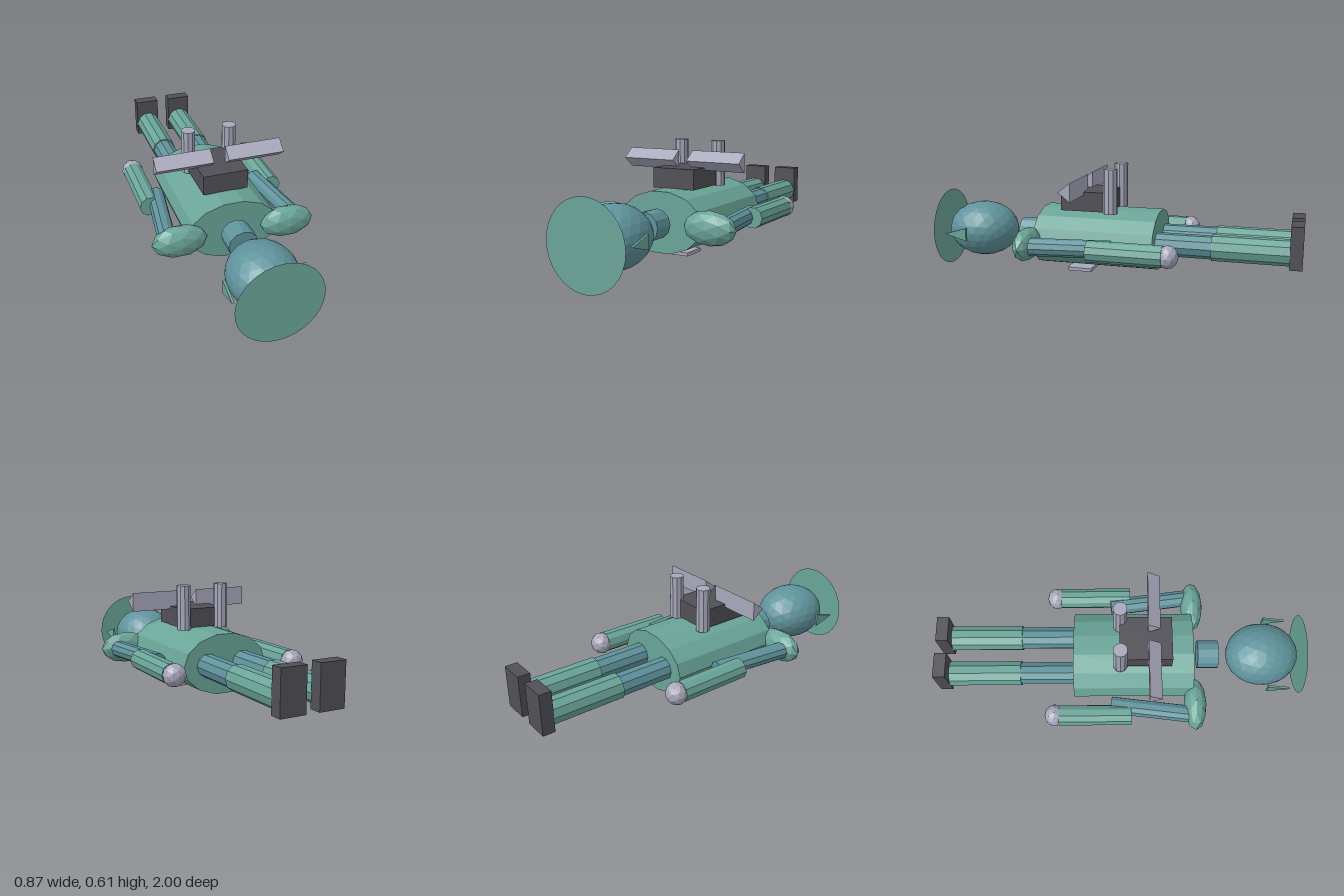
import * as THREE from 'three';

const MID = 0.22; // height of the body axis

const paint = (color, extra = {}) =>
  new THREE.MeshStandardMaterial({ color, flatShading: true, ...extra });

export function createModel() {
  const model = new THREE.Group();
  const green = paint(0x6aa598);
  const blue = paint(0x5f939c);
  const silver = paint(0xa8a8bc);
  const dark = paint(0x505056);

  function add(name, geometry, material, x, y, z) {
    const mesh = new THREE.Mesh(geometry, material);
    mesh.name = name;
    mesh.position.set(x, y, z);
    model.add(mesh);
    return mesh;
  }

  // Faceted cylinder lying along z between z0 and z1
  function rod(name, material, x, z0, z1, rx, ry = rx, sides = 10) {
    const geo = new THREE.CylinderGeometry(1, 1, z1 - z0, sides, 1, false, Math.PI / 2);
    geo.rotateX(Math.PI / 2).scale(rx, ry, 1);
    return add(name, geo, material, x, MID, (z0 + z1) / 2);
  }

  // Faceted ellipsoid
  function ball(name, material, detail, x, z, rx, ry, rz) {
    const geo = new THREE.IcosahedronGeometry(1, detail).scale(rx, ry, rz);
    return add(name, geo, material, x, MID, z);
  }

  // Triangular prism running along x; points are [z, y]
  function prism(name, material, points, width, x) {
    const shape = new THREE.Shape(points.map(([z, y]) => new THREE.Vector2(-z, y)));
    const geo = new THREE.ExtrudeGeometry(shape, { depth: width, bevelEnabled: false });
    geo.translate(0, 0, -width / 2).rotateY(Math.PI / 2);
    return add(name, geo, material, x, 0, 0);
  }

  // Head, neck and torso
  add('haloDisc', new THREE.CircleGeometry(0.217, 32),
    paint(0x6aa598, { side: THREE.DoubleSide }), 0, 0.218, 0.998);
  ball('head', blue, 3, 0, 0.79, 0.175, 0.155, 0.2);
  rod('neck', blue, 0, 0.43, 0.545, 0.078, 0.076, 12);
  rod('torso', green, 0, -0.25, 0.4, 0.24, 0.161, 14);
  add('bellyPlate', new THREE.BoxGeometry(0.15, 0.018, 0.135), silver, 0, 0.034, 0.193);

  // Backpack
  add('backpack', new THREE.BoxGeometry(0.24, 0.105, 0.278), dark, 0, 0.4275, 0.139);

  for (const s of [-1, 1]) {
    const side = s > 0 ? 'left' : 'right';

    // Fin beside the head
    prism(side + 'EarFin', green, [[0.935, 0.222], [0.81, 0.258], [0.81, 0.185]], 0.012, s * 0.2);

    // Arm
    ball(side + 'Shoulder', green, 1, s * 0.288, 0.41, 0.145, 0.088, 0.062);
    const upperArm = rod(side + 'UpperArm', blue, s * 0.318, -0.05, 0.4, 0.047);
    upperArm.rotation.y = s * 0.125;
    rod(side + 'Forearm', green, s * 0.347, -0.33, 0.06, 0.056);
    ball(side + 'Hand', silver, 1, s * 0.346, -0.355, 0.06, 0.06, 0.055);

    // Leg
    rod(side + 'Thigh', blue, s * 0.104, -0.56, -0.24, 0.062);
    rod(side + 'Shin', green, s * 0.104, -0.94, -0.542, 0.069);
    add(side + 'Boot', new THREE.BoxGeometry(0.137, 0.222, 0.065), dark, s * 0.104, 0.258, -0.967);

    // Backpack tube and wing
    add(side + 'Tube', new THREE.CylinderGeometry(0.038, 0.038, 0.24, 10, 1, false, Math.PI / 2),
      silver, s * 0.113, 0.49, 0.003);
    prism(side + 'Wing', silver, [[0.215, 0.515], [0.15, 0.565], [0.15, 0.464]], 0.303, s * 0.192);
  }
  return model;
}
